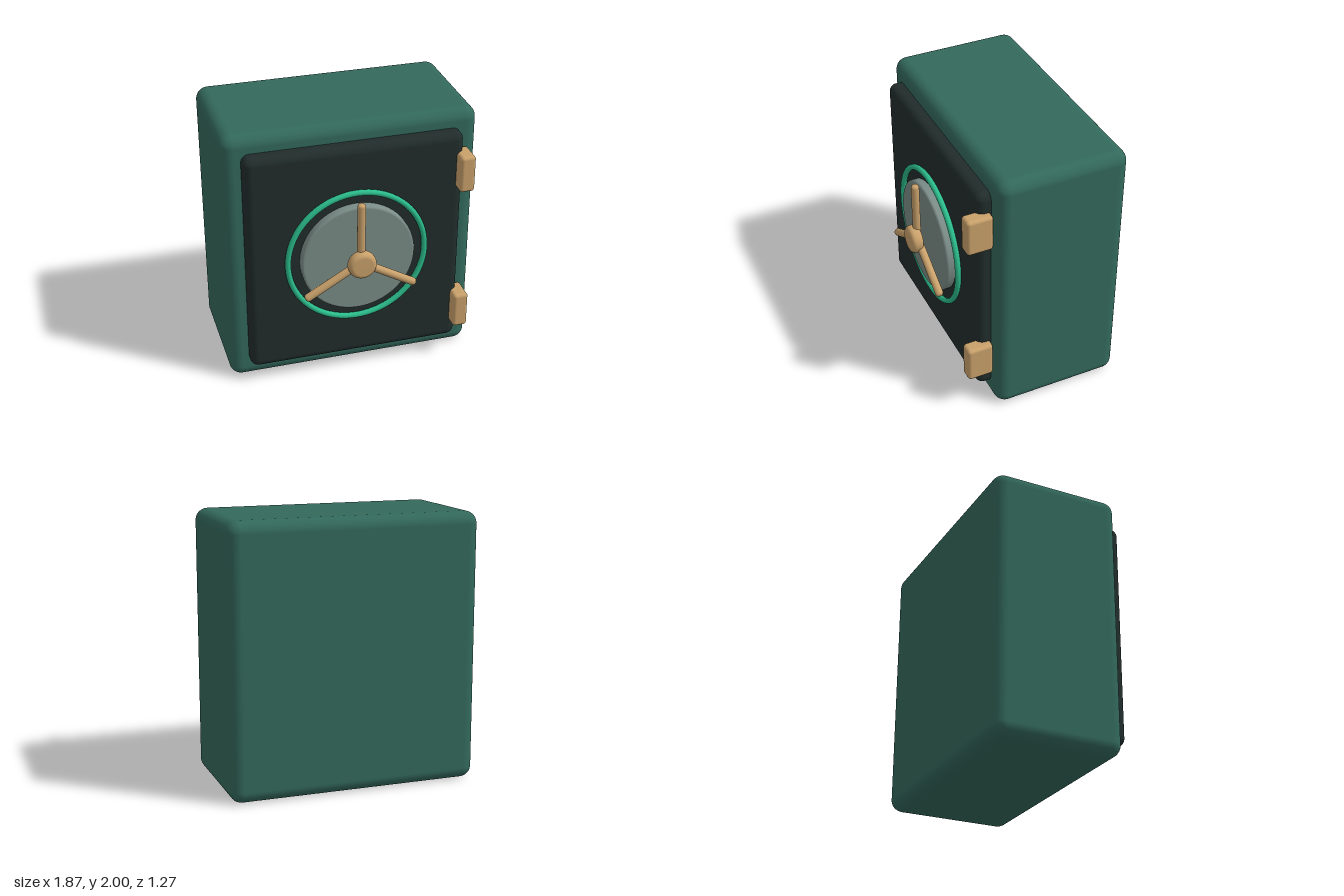
import * as THREE from 'three';
import { RoundedBoxGeometry } from 'three/addons/geometries/RoundedBoxGeometry.js';

const paint = (color) => new THREE.MeshStandardMaterial({ color });

// Cylinder along y with rounded rims, centred on the origin
function roundedCylinder(radius, length, rim, segments) {
  const points = [new THREE.Vector2(0, -length / 2)];
  for (const end of [-1, 1]) {
    for (let i = 0; i <= 6; i++) {
      const a = (end < 0 ? -Math.PI / 2 : 0) + (i / 6) * (Math.PI / 2);
      points.push(new THREE.Vector2(
        radius - rim + Math.cos(a) * rim,
        end * (length / 2 - rim) + Math.sin(a) * rim));
    }
  }
  points.push(new THREE.Vector2(0, length / 2));
  return new THREE.LatheGeometry(points, segments);
}

export function createModel() {
  const group = new THREE.Group();
  const green = paint(0x33695c);
  const dark = paint(0x212d2b);
  const mint = paint(0x2bbd8c);
  const steel = paint(0x7b8d88);
  const brass = paint(0xc9a16b);
  const wheelY = 1.005;

  function add(parent, name, geometry, material, x, y, z) {
    const mesh = new THREE.Mesh(geometry, material);
    mesh.name = name;
    mesh.position.set(x, y, z);
    parent.add(mesh);
    return mesh;
  }

  // Cabinet and door
  add(group, 'cabinet', new RoundedBoxGeometry(1.87, 2, 0.975, 6, 0.09), green, 0, 1, -0.1475);
  add(group, 'door', new RoundedBoxGeometry(1.6, 1.73, 0.16, 6, 0.06), dark, 0, 1.003, 0.363);

  // Hinges on the door's left edge
  for (const y of [0.424, 1.581]) {
    add(group, 'hinge', new RoundedBoxGeometry(0.112, 0.28, 0.195, 4, 0.025), brass, 0.8, y, 0.4425);
  }

  // Dial plate and ring
  const plate = add(group, 'dialPlate', roundedCylinder(0.424, 0.08, 0.02, 64), steel, 0, wheelY, 0.47);
  plate.rotation.x = Math.PI / 2;
  add(group, 'dialRing', new THREE.TorusGeometry(0.514, 0.022, 12, 72), mint, 0, wheelY, 0.464);

  // Three-spoked handle
  const handle = new THREE.Group();
  handle.name = 'handle';
  handle.position.set(0, wheelY, 0.565);
  group.add(handle);
  const hub = add(handle, 'hub', roundedCylinder(0.105, 0.09, 0.035, 32), brass, 0, 0, 0.025);
  hub.rotation.x = Math.PI / 2;
  for (let i = 0; i < 3; i++) {
    const angle = (i * Math.PI * 2) / 3;
    const spoke = add(handle, 'spoke', roundedCylinder(0.03, 0.48, 0.022, 16), brass,
      -Math.sin(angle) * 0.24, Math.cos(angle) * 0.24, 0);
    spoke.rotation.z = angle;
  }
  return group;
}
